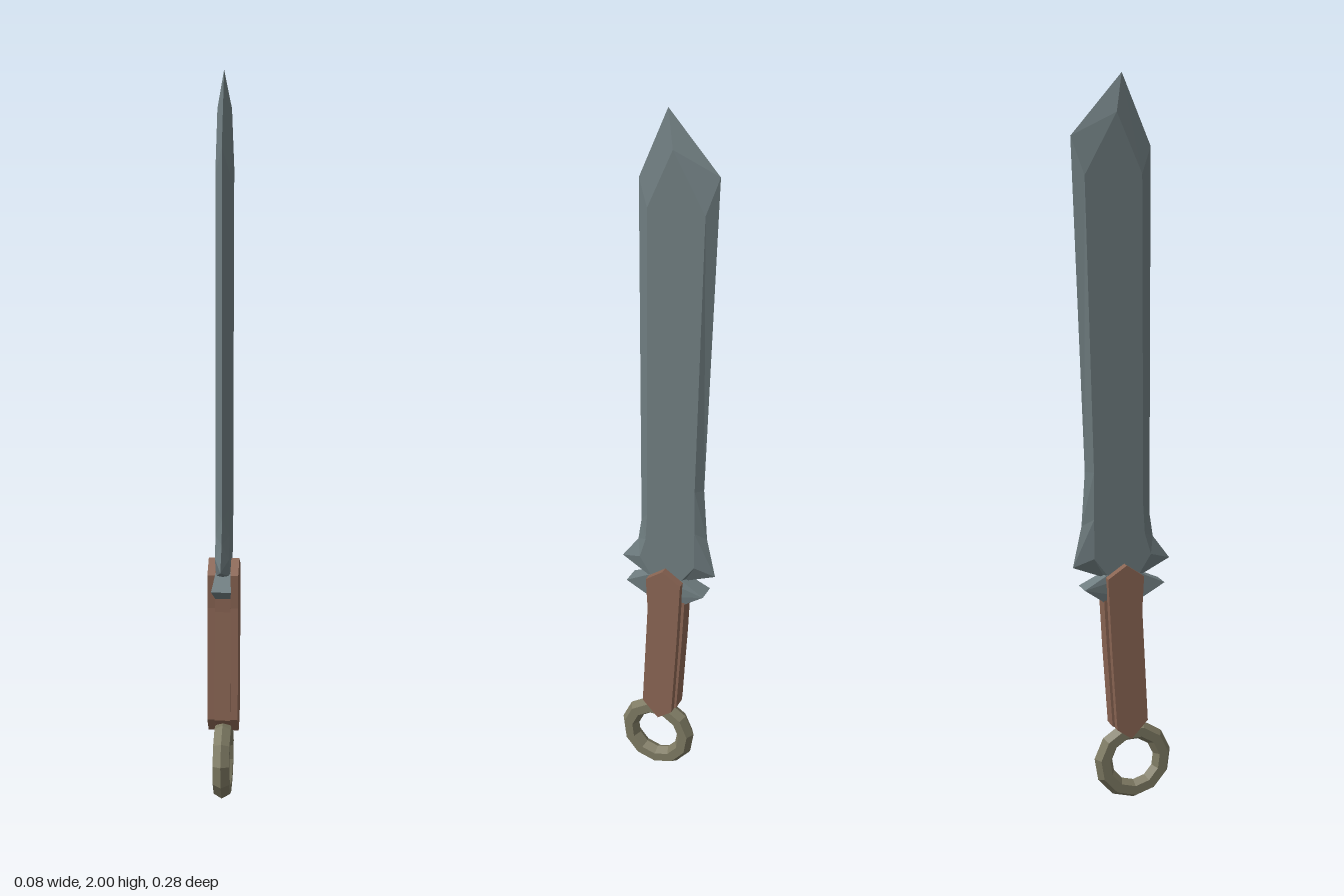
import * as THREE from 'three';

const mat = (name, color) => {
  const m = new THREE.MeshStandardMaterial({ color, flatShading: true });
  m.name = name;
  return m;
};

// Extrude a [z, y] outline symmetrically across x
function plate(outline, halfWidth, centreX = 0) {
  const shape = new THREE.Shape(outline.map(([z, y]) => new THREE.Vector2(-z, y)));
  const geo = new THREE.ExtrudeGeometry(shape, { depth: halfWidth * 2, bevelEnabled: false });
  return geo.translate(0, 0, -halfWidth).rotateY(Math.PI / 2).translate(centreX, 0, 0);
}

// Sharp outer outline joined to a raised ridge outline on each side
function bladeGeometry(rows, half) {
  const pos = [];
  const tri = (a, b, c) => {
    pos.push(...a, ...b, ...c);
    const flip = ([x, y, z]) => [-x, y, z];
    pos.push(...flip(a), ...flip(c), ...flip(b));
  };
  const outer = rows.map(([z, y]) => [0, y, z]);
  const inner = rows.map(([, , z, y]) => [half, y, z]);
  rows.forEach((_, i) => {
    const j = (i + 1) % rows.length;
    tri(outer[i], outer[j], inner[j]);
    tri(outer[i], inner[j], inner[i]);
  });
  const flat = inner.map(([, y, z]) => new THREE.Vector2(-z, y));
  THREE.ShapeUtils.triangulateShape(flat, []).forEach(([a, b, c]) => tri(inner[a], inner[b], inner[c]));
  const geo = new THREE.BufferGeometry();
  geo.setAttribute('position', new THREE.Float32BufferAttribute(pos, 3));
  geo.computeVertexNormals();
  return geo;
}

export function createModel() {
  const model = new THREE.Group();
  model.name = 'sword';
  const steel = mat('steel', 0x6f7d80);
  const leather = mat('brown grip', 0x8a6553);
  const bronze = mat('dull bronze', 0x7d7962);
  const add = (name, geo, material) => {
    const mesh = new THREE.Mesh(geo, material);
    mesh.name = name;
    model.add(mesh);
    return mesh;
  };

  // Blade: edge z, edge y, ridge z, ridge y
  add('blade', bladeGeometry([
    [0, 2, -0.02, 1.9],
    [0.08, 1.81, 0.05, 1.74],
    [0.08, 0.82, 0.055, 0.85],
    [0.09, 0.755, 0.06, 0.77],
    [0.138, 0.69, 0.078, 0.71],
    [0.05, 0.65, 0.04, 0.65],
    [-0.05, 0.65, -0.04, 0.65],
    [-0.14, 0.685, -0.085, 0.71],
    [-0.115, 0.8, -0.085, 0.82],
    [-0.105, 0.95, -0.085, 0.95],
    [-0.14, 1.84, -0.108, 1.74],
  ], 0.019), steel);

  // Guard barbs flare slightly toward their tips
  const guard = plate([
    [0.045, 0.66], [0.115, 0.628], [0.045, 0.585],
    [-0.05, 0.58], [-0.115, 0.626], [-0.05, 0.66],
  ], 0.02);
  const p = guard.attributes.position;
  for (let i = 0; i < p.count; i++) {
    if (Math.abs(p.getZ(i)) > 0.1) p.setX(i, p.getX(i) * 1.35);
  }
  guard.computeVertexNormals();
  add('guardBarbs', guard, steel);

  // Grip: two side scales around a slightly proud core
  const scale = [
    [0, 0.69], [0.05, 0.655], [0.045, 0.56], [0.062, 0.24],
    [0.015, 0.19], [-0.027, 0.22], [-0.042, 0.45], [-0.053, 0.655],
  ];
  for (const side of [-1, 1]) {
    add(side > 0 ? 'leftGripScale' : 'rightGripScale', plate(scale, 0.011, side * 0.031), leather);
  }
  add('gripCore', plate([
    [0.05, 0.61], [0.05, 0.55], [0.068, 0.24], [0.015, 0.2],
    [-0.034, 0.225], [-0.05, 0.45], [-0.058, 0.59],
  ], 0.0215), leather);

  // Ring pommel
  const ring = new THREE.TorusGeometry(0.087, 0.026, 6, 11).rotateY(Math.PI / 2).rotateX(0.12);
  add('ringPommel', ring.translate(0, 0.113, 0.032), bronze);

  return model;
}
